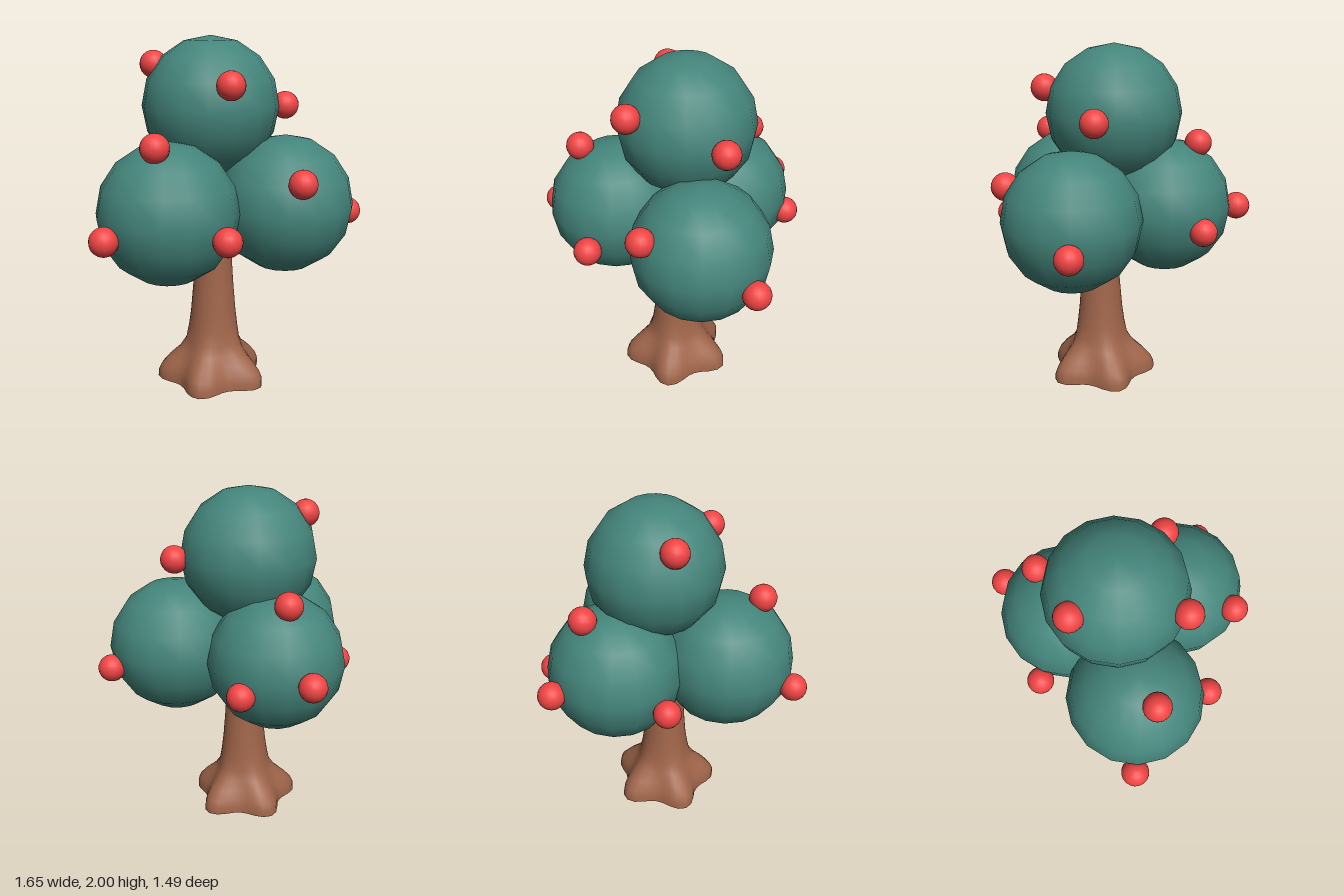
import * as THREE from 'three';
import { mergeVertices } from 'three/addons/utils/BufferGeometryUtils.js';

const leafMat = new THREE.MeshStandardMaterial({ color: 0x44857b });
const barkMat = new THREE.MeshStandardMaterial({ color: 0xa0654a });
const fruitMat = new THREE.MeshStandardMaterial({ color: 0xf04444 });

const LOBES = 5;
const LOBE_TURN = THREE.MathUtils.degToRad(35); // one root points this way from +z

// Revolved surface whose radius swings between a root radius and a valley radius.
// Rows are [root radius, valley radius, height].
function lobedLathe(rows) {
  const segments = 40;
  const geo = new THREE.LatheGeometry(rows.map(([r, , y]) => new THREE.Vector2(r, y)), segments);
  const pos = geo.attributes.position;
  for (let i = 0; i < pos.count; i++) {
    const [root, valley, y] = rows[i % rows.length];
    const a = (Math.floor(i / rows.length) % segments) / segments * Math.PI * 2;
    const t = Math.pow(0.5 + 0.5 * Math.cos(LOBES * (a - LOBE_TURN)), 1.2);
    const r = valley + (root - valley) * t;
    pos.setXYZ(i, r * Math.sin(a), y, r * Math.cos(a));
  }
  geo.deleteAttribute('uv');
  geo.deleteAttribute('normal');
  const welded = mergeVertices(geo, 1e-5);
  welded.computeVertexNormals();
  return welded;
}

function addMesh(parent, name, geometry, material, position) {
  const mesh = new THREE.Mesh(geometry, material);
  mesh.name = name;
  mesh.position.set(...position);
  parent.add(mesh);
  return mesh;
}

export function createModel() {
  const tree = new THREE.Group();
  tree.name = 'fruitTree';

  // Trunk flaring into five roots, with a flat underside
  const trunk = new THREE.Group();
  trunk.name = 'trunk';
  trunk.position.set(-0.035, 0, 0.13);
  tree.add(trunk);
  addMesh(trunk, 'trunkBark', lobedLathe([
    [0.33, 0.245, 0],
    [0.328, 0.243, 0.04],
    [0.31, 0.23, 0.08],
    [0.265, 0.205, 0.13],
    [0.2, 0.175, 0.185],
    [0.162, 0.155, 0.24],
    [0.145, 0.143, 0.32],
    [0.131, 0.131, 0.42],
    [0.116, 0.116, 0.6],
    [0.107, 0.107, 0.75],
    [0.1, 0.1, 1.15],
  ]), barkMat, [0, 0, 0]);
  addMesh(trunk, 'trunkUnderside', lobedLathe([[0, 0, 0], [0.33, 0.245, 0]]), barkMat, [0, 0, 0]);

  // Foliage balls
  const leafGeo = new THREE.SphereGeometry(0.39, 16, 8);
  const balls = {
    foliageTop: [-0.02, 1.61, 0.045],
    foliageLeft: [0.335, 1.07, 0.29],
    foliageRight: [-0.36, 1.07, 0.29],
    foliageBack: [-0.02, 1.07, -0.25],
  };
  for (const [name, p] of Object.entries(balls)) addMesh(tree, name, leafGeo, leafMat, p);

  // Fruit set into the foliage
  const fruits = new THREE.Group();
  fruits.name = 'fruits';
  tree.add(fruits);
  const fruitGeo = new THREE.SphereGeometry(0.078, 18, 12);
  [
    [-0.31, 1.84, -0.09], [-0.06, 1.75, 0.44], [0.39, 1.61, 0.165],
    [-0.475, 1.45, 0.44], [-0.75, 0.99, 0.435], [-0.17, 0.99, 0.67],
    [0.26, 1.25, 0.65], [0.745, 0.99, 0.3],
    [0.025, 1.44, -0.435], [0.025, 1.065, -0.67], [0.32, 0.99, -0.435], [-0.445, 0.99, -0.255],
  ].forEach((p, i) => addMesh(fruits, `fruit${i + 1}`, fruitGeo, fruitMat, p));

  return tree;
}
